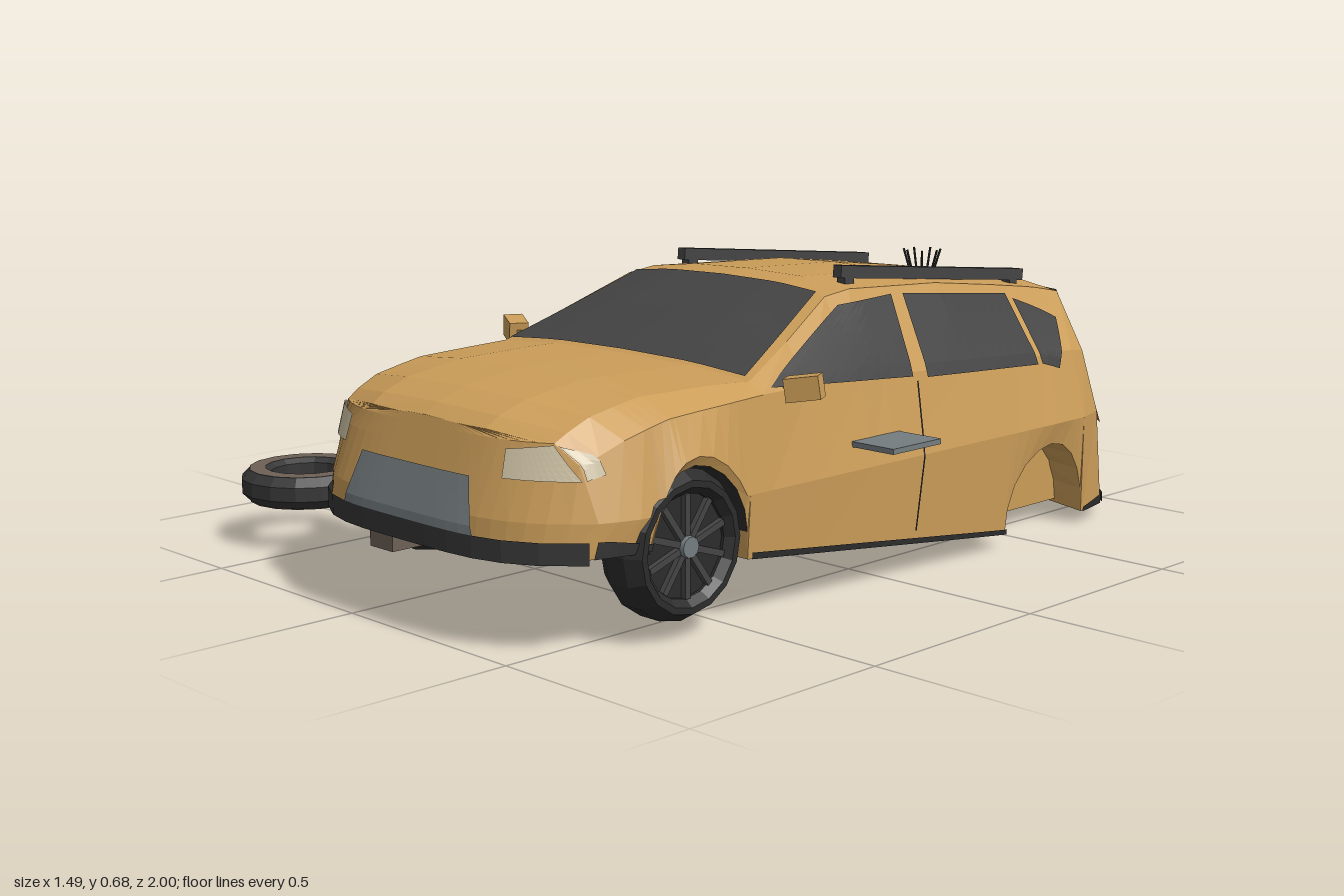
import * as THREE from 'three';

const mat = (name, color) => {
  const m = new THREE.MeshStandardMaterial({ color, side: THREE.DoubleSide });
  m.name = name;
  return m;
};
const M = {
  paint: mat('ochre paint', 0xcb9d59), glass: mat('dark glass', 0x444444), black: mat('black plastic', 0x2c2c2c),
  rubber: mat('rubber', 0x363636), steel: mat('grey steel', 0x757d80), lamp: mat('cream lamp', 0xcfc3a6),
  rust: mat('rust orange', 0xa5582f), dust: mat('dusty brown', 0x6e6056),
};

// Stations: z, half widths (sill, mid, belt, roof edge), heights (belt, roof edge, crown)
const STATIONS = [
  [0.99, 0.41, 0.42, 0.38, 0.335, 0.38, 0.42, 0.438],
  [0.96, 0.42, 0.435, 0.395, 0.34, 0.395, 0.438, 0.46],
  [0.88, 0.435, 0.45, 0.41, 0.345, 0.42, 0.462, 0.484],
  [0.7, 0.445, 0.458, 0.425, 0.35, 0.45, 0.486, 0.505],
  [0.5, 0.45, 0.458, 0.43, 0.37, 0.46, 0.489, 0.506],
  [0.4, 0.45, 0.458, 0.43, 0.39, 0.465, 0.488, 0.504],
  [0.25, 0.45, 0.458, 0.42, 0.355, 0.465, 0.55, 0.573],
  [0.08, 0.45, 0.458, 0.418, 0.31, 0.46, 0.625, 0.642],
  [0, 0.45, 0.458, 0.415, 0.31, 0.455, 0.635, 0.655],
  [-0.3, 0.45, 0.458, 0.415, 0.312, 0.44, 0.622, 0.645],
  [-0.6, 0.445, 0.458, 0.41, 0.305, 0.43, 0.588, 0.61],
  [-0.8, 0.44, 0.455, 0.41, 0.305, 0.43, 0.57, 0.59],
  [-0.98, 0.42, 0.43, 0.40, 0.31, 0.42, 0.558, 0.578],
];
const ARCHES = [{ z: 0.63, y: 0.19, r: 0.163 }, { z: -0.6, y: 0.03, r: 0.19 }];
const FRONT = 0.99, REAR = -0.98;
const lerp = THREE.MathUtils.lerp;

// Lower edge of the body, raised over the wheel arches
function bottomY(z) {
  for (const a of ARCHES) {
    const d = Math.abs(z - a.z);
    if (d <= a.r) return a.y + Math.sqrt(a.r * a.r - d * d);
  }
  if (z > 0.75) return 0.2;
  return z < -0.41 ? 0.03 : lerp(0.03, 0.135, (z + 0.41) / 0.88);
}

// Half cross-section from sill to crown, as [x, y] points
function section(z) {
  let i = 0;
  while (i < STATIONS.length - 2 && z < STATIONS[i + 1][0]) i++;
  const a = STATIONS[i], b = STATIONS[i + 1];
  const t = THREE.MathUtils.clamp((a[0] - z) / (a[0] - b[0]), 0, 1);
  const [, w0, w1, w2, w3, yBelt, yEdge, yTop] = a.map((v, k) => lerp(v, b[k], t));
  const yb = bottomY(z), yMid = Math.min(Math.max(0.27, yb + 0.02), yBelt - 0.03);
  return [[w0, yb], [w1, yMid], [w2, yBelt], [w3, yEdge], [w3 * 0.55, lerp(yTop, yEdge, 0.2)], [0, yTop]];
}

// Rounds the nose and tail in plan and leans them inward
function bend(x, y, z) {
  const t = THREE.MathUtils.clamp((Math.abs(z) - 0.5) / 0.48, 0, 1) ** 2;
  const lean = z > 0 ? 0.3 * Math.max(0, y - 0.25) : 0.43 * Math.max(0, y - 0.2);
  return [x, y, z - Math.sign(z) * t * (0.18 * (x / 0.45) ** 4 + lean)];
}

function sideX(z, y) {
  const s = section(z);
  for (let i = 0; i < 3; i++)
    if (y <= s[i + 1][1] || i === 2)
      return lerp(s[i][0], s[i + 1][0], THREE.MathUtils.clamp((y - s[i][1]) / (s[i + 1][1] - s[i][1]), 0, 1));
}
function topY(z, x) {
  const s = section(z), ax = Math.abs(x), i = ax > s[4][0] ? 3 : 4;
  return lerp(s[i][1], s[i + 1][1], (s[i][0] - ax) / (s[i][0] - s[i + 1][0]));
}

// Surface maps that lay a 2D patch just above the body
const onSide = (s, off = 0.007) => (z, y) => bend(s * (sideX(z, y) + off), y, z);
const onTop = (x, z) => bend(x, topY(z, x) + 0.007, z);
const onFront = (x, y) => bend(x, y, FRONT + 0.008);
const onRear = (x, y) => bend(x, y, REAR - 0.008);

function quad(out, a, b, c, d) { out.push(...a, ...b, ...c, ...a, ...c, ...d); }
function soup(out) {
  const g = new THREE.BufferGeometry();
  g.setAttribute('position', new THREE.Float32BufferAttribute(out, 3));
  g.computeVertexNormals();
  return g;
}
function flat(g) {
  const f = g.index ? g.toNonIndexed() : g;
  f.computeVertexNormals();
  return f;
}
function add(parent, name, geo, material, x = 0, y = 0, z = 0) {
  const m = new THREE.Mesh(geo, material);
  m.name = name;
  m.position.set(x, y, z);
  parent.add(m);
  return m;
}
const box = (p, name, m, w, h, d, x, y, z) => add(p, name, new THREE.BoxGeometry(w, h, d), m, x, y, z);

// Four-cornered patch, subdivided and mapped onto the body
function patch(parent, name, material, map, corners, nu = 12, nv = 6) {
  const [a, b, c, d] = corners, out = [];
  const at = (i, j) => {
    const u = i / nu, v = j / nv;
    return map(...[0, 1].map(k => lerp(lerp(a[k], b[k], u), lerp(d[k], c[k], u), v)));
  };
  for (let i = 0; i < nu; i++) for (let j = 0; j < nv; j++)
    quad(out, at(i, j), at(i + 1, j), at(i + 1, j + 1), at(i, j + 1));
  return add(parent, name, soup(out), material);
}

function buildShell(car) {
  const zs = STATIONS.map(s => s[0]);
  for (const a of ARCHES) {
    for (let k = 0; k <= 10; k++) zs.push(a.z + a.r * Math.cos(k * Math.PI / 10) * 0.9999);
    zs.push(a.z + a.r + 0.001, a.z - a.r - 0.001);
  }
  zs.sort((p, q) => q - p);
  const paint = [], under = [];
  for (let k = 0; k < zs.length - 1; k++) {
    const z0 = zs[k], z1 = zs[k + 1], A = section(z0), B = section(z1);
    const pt = (s, p, z) => bend(s * p[0], p[1], z);
    for (let i = 0; i < 5; i++) {
      quad(paint, pt(1, A[i], z0), pt(1, B[i], z1), pt(1, B[i + 1], z1), pt(1, A[i + 1], z0));
      quad(paint, pt(-1, A[i], z0), pt(-1, A[i + 1], z0), pt(-1, B[i + 1], z1), pt(-1, B[i], z1));
    }
    // Underside: painted in the rear arches and on the bulkhead, black elsewhere
    const inRearArch = z0 < -0.4 && z1 > -0.8, bulkhead = z0 < 0.47 && z1 > 0.465;
    const out = inRearArch || bulkhead ? paint : under, n = 6;
    for (let j = 0; j < n; j++) {
      const u = 2 * j / n - 1, v = 2 * (j + 1) / n - 1;
      quad(out, pt(u, A[0], z0), pt(v, A[0], z0), pt(v, B[0], z1), pt(u, B[0], z1));
    }
  }
  // Nose and tail faces
  for (const z of [FRONT, REAR]) {
    const s = section(z), n = 24;
    for (let i = 0; i < 5; i++) for (let j = 0; j < n; j++) {
      const f = (p, k) => bend(p[0] * Math.sign(z) * (2 * k / n - 1), p[1], z);
      quad(paint, f(s[i], j), f(s[i], j + 1), f(s[i + 1], j + 1), f(s[i + 1], j));
    }
  }
  add(car, 'bodyShell', soup(paint), M.paint);
  add(car, 'underside', soup(under), M.black);
  box(car, 'frontWheelHousing', M.black, 0.64, 0.165, 0.32, 0, 0.2825, 0.63);
  // Closes the rear arches into side pockets
  box(car, 'rearFloor', M.paint, 0.68, 0.18, 0.37, 0, 0.13, -0.595);
}

function tyreGeometry(r, hole, half) {
  const p = [[hole, -half * 0.7], [hole + 0.015, -half], [r - 0.02, -half], [r, -half * 0.45], [r, half * 0.45],
    [r - 0.02, half], [hole + 0.015, half], [hole, half * 0.7], [hole, -half * 0.7]];
  return flat(new THREE.LatheGeometry(p.map(q => new THREE.Vector2(...q)), 16));
}

function wheel(parent, side) {
  const g = new THREE.Group();
  g.name = 'frontWheel';
  add(g, 'tyre', tyreGeometry(0.157, 0.108, 0.06), M.black);
  add(g, 'rimDisc', flat(new THREE.CylinderGeometry(0.112, 0.112, 0.07, 16)), M.black);
  for (let i = 0; i < 10; i++) {
    const a = i * Math.PI / 5;
    const s = box(g, 'spoke', M.glass, 0.095, 0.015, 0.014, Math.cos(a) * 0.06, 0.04, Math.sin(a) * 0.06);
    s.rotation.y = -a;
  }
  add(g, 'hub', new THREE.CylinderGeometry(0.022, 0.026, 0.03, 10), M.steel, 0, 0.042, 0);
  g.rotation.z = -side * Math.PI / 2;
  g.position.set(side * 0.395, 0.19, 0.63);
  parent.add(g);
}

export function createModel() {
  const model = new THREE.Group();
  model.name = 'brokenEstateCar';
  const car = new THREE.Group();
  car.name = 'car';
  car.position.x = 0.18;
  model.add(car);
  buildShell(car);

  // Windscreen, tailgate and front face
  patch(car, 'windscreen', M.glass, onTop, [[-0.375, 0.398], [0.375, 0.398], [0.285, 0.08], [-0.285, 0.08]], 12, 10);
  patch(car, 'rearWindow', M.glass, onRear, [[-0.35, 0.4], [0.35, 0.4], [0.3, 0.56], [-0.3, 0.56]]);
  patch(car, 'tailgatePanel', M.steel, onRear, [[-0.165, 0.12], [0.165, 0.12], [0.155, 0.225], [-0.155, 0.225]]);
  patch(car, 'rearLip', M.black, onRear, [[-0.42, 0.03], [0.42, 0.03], [0.42, 0.055], [-0.42, 0.055]]);
  patch(car, 'grille', M.steel, onFront, [[-0.21, 0.235], [0.21, 0.235], [0.175, 0.345], [-0.175, 0.345]]);
  patch(car, 'frontLip', M.rubber, onFront, [[-0.415, 0.19], [0.415, 0.19], [0.415, 0.235], [-0.415, 0.235]]);

  for (const s of [-1, 1]) {
    const side = onSide(s), seam = onSide(s, 0.003);
    // Side glass
    patch(car, 'frontDoorWindow', M.glass, side, [[0.37, 0.475], [-0.09, 0.442], [-0.125, 0.614], [0.06, 0.607]]);
    patch(car, 'rearDoorWindow', M.glass, side, [[-0.14, 0.435], [-0.565, 0.413], [-0.555, 0.575], [-0.165, 0.612]]);
    patch(car, 'quarterWindow', M.glass, side, [[-0.585, 0.413], [-0.67, 0.395], [-0.785, 0.505], [-0.58, 0.562]]);
    // Door seam and lower trim
    patch(car, 'doorSeam', M.black, seam, [[-0.07, 0.1], [-0.075, 0.1], [-0.11, 0.43], [-0.105, 0.43]], 1, 8);
    patch(car, 'sillTrim', M.black, side, [[0.46, 0.135], [-0.408, 0.031], [-0.408, 0.043], [0.46, 0.149]]);
    patch(car, 'rearSkirt', M.black, side, [[-0.795, 0.031], [-0.98, 0.031], [-0.98, 0.055], [-0.795, 0.042]]);
    patch(car, 'bumperCorner', M.rubber, side, [[0.99, 0.2], [0.8, 0.2], [0.8, 0.215], [0.99, 0.235]]);
    // Lamps, with the headlamp wrapping round the corner
    patch(car, 'headlamp', M.lamp, onFront, [[s * 0.393, 0.35], [s * 0.255, 0.35], [s * 0.25, 0.405], [s * 0.34, 0.418]]);
    patch(car, 'headlampCorner', M.lamp, side, [[0.996, 0.35], [0.965, 0.36], [0.97, 0.4], [0.996, 0.417]]);
    patch(car, 'tailLamp', M.rust, onRear, [[s * 0.39, 0.225], [s * 0.3, 0.228], [s * 0.325, 0.312], [s * 0.375, 0.305]]);
    wheel(car, s);
    // Mirror on a short stalk
    const mirrorY = s > 0 ? 0.472 : 0.497;
    const mirror = box(car, 'mirror', M.paint, 0.075, 0.05, 0.045, s * 0.46, mirrorY, 0.31);
    mirror.rotation.set(0, s * 0.5, s * 0.15);
    box(car, 'mirrorStalk', M.paint, 0.06, 0.015, 0.025, s * 0.42, mirrorY - 0.005, 0.32);
    // Roof rail with feet
    const railX = s * 0.247 + 0.01;
    const rail = box(car, 'roofRail', M.glass, 0.024, 0.028, 0.68, railX, 0.635, -0.36);
    rail.rotation.x = -0.095;
    for (const z of [-0.05, -0.66]) box(car, 'railFoot', M.glass, 0.024, 0.03, 0.03, railX, topY(z, railX) + 0.004, z);
  }

  // Ring of bent aerial wires on the roof
  for (let i = 0; i < 7; i++) {
    const a = i * Math.PI * 2 / 7;
    const w = box(car, 'roofWire', M.black, 0.004, 0.05, 0.004, Math.cos(a) * 0.04, 0.625, -0.64 + Math.sin(a) * 0.04);
    w.rotation.set(Math.sin(a) * 0.3, 0, -Math.cos(a) * 0.3);
  }

  // Trim strip hanging below the tail
  const strip = [[-0.16, 0.04, -0.96], [0, 0.003, -0.997], [0.16, 0.035, -0.96]].map(p => new THREE.Vector3(...p));
  for (let i = 0; i < 2; i++)
    add(car, 'hangingStrip', new THREE.TubeGeometry(new THREE.LineCurve3(strip[i], strip[i + 1]), 1, 0.003, 4), M.black);

  // Detached panels and the block under the nose
  box(model, 'greyPanel', M.steel, 0.13, 0.012, 0.16, 0.675, 0.326, 0.06);
  box(model, 'rustPanel', M.rust, 0.15, 0.012, 0.2, -0.325, 0.35, 0.3);
  box(model, 'noseBlock', M.dust, 0.08, 0.09, 0.13, -0.09, 0.14, 0.79);

  // Loose tyre lying flat
  const tyre = new THREE.Group();
  tyre.name = 'looseTyre';
  tyre.position.set(-0.59, 0.14, 0.7);
  add(tyre, 'tread', tyreGeometry(0.155, 0.085, 0.037), M.rubber);
  for (const s of [-1, 1])
    add(tyre, 'sidewall', new THREE.RingGeometry(0.098, 0.136, 16), M.dust, 0, s * 0.0385, 0).rotation.x = -s * Math.PI / 2;
  model.add(tyre);
  return model;
}
